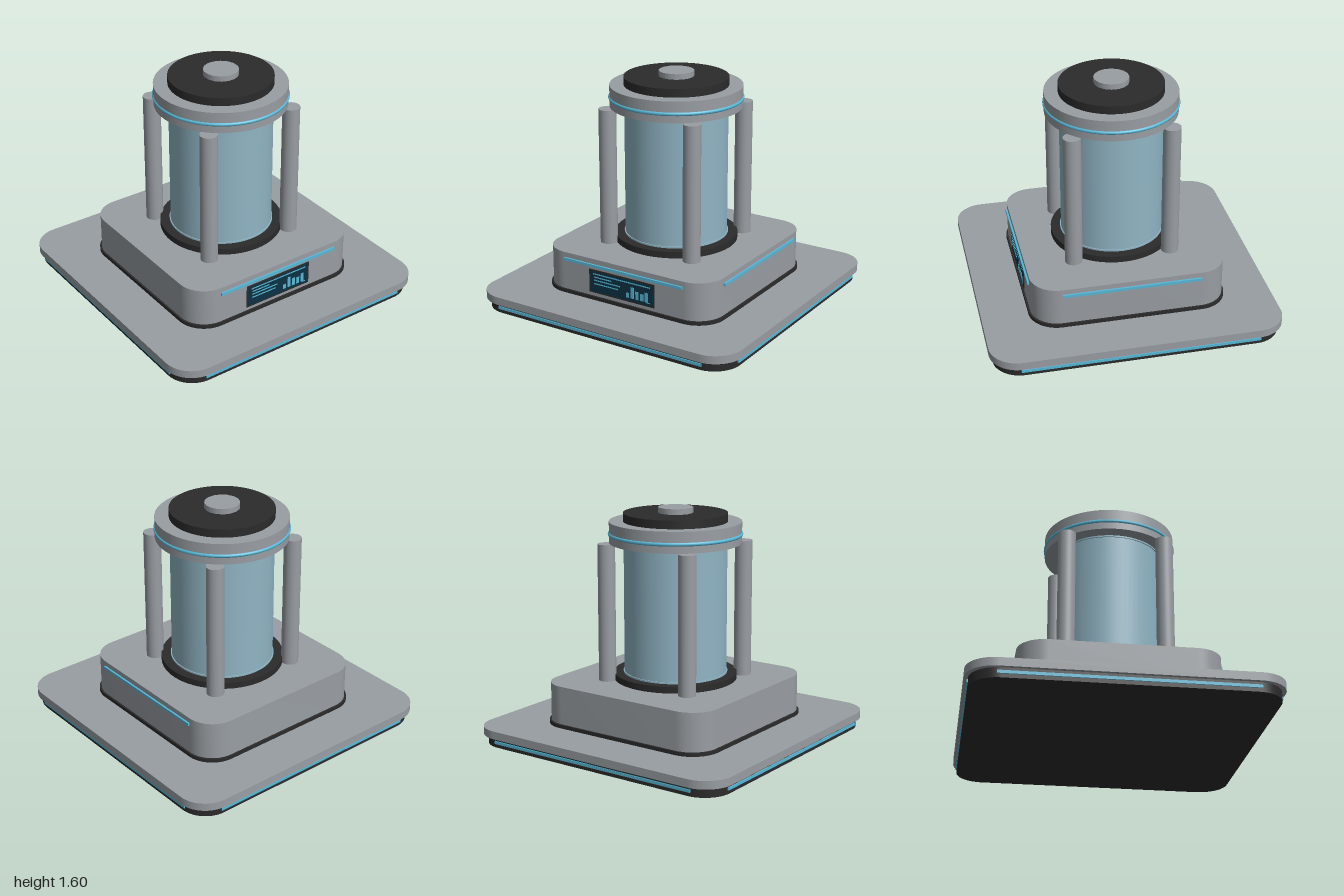
import * as THREE from 'three';
import { toCreasedNormals } from 'three/addons/utils/BufferGeometryUtils.js';

const material = (name, color) => {
  const m = new THREE.MeshStandardMaterial({ color });
  m.name = name;
  return m;
};

export function createModel() {
  const model = new THREE.Group();
  model.name = 'containmentPedestal';
  const metal = material('grey metal', 0x999ea3);
  const dark = material('dark rubber', 0x2b2b2b);
  const glass = material('blue glass', 0x90b5c4);
  const glow = material('cyan light', 0x58b9d8);
  const screenBlue = material('screen blue', 0x0c3244);

  const add = (name, geometry, mat, x = 0, y = 0, z = 0, parent = model) => {
    const mesh = new THREE.Mesh(geometry, mat);
    mesh.name = name;
    mesh.position.set(x, y, z);
    parent.add(mesh);
    return mesh;
  };

  // Square slab with rounded corners, from y0 to y1
  const slab = (name, half, radius, y0, y1, mat) => {
    const s = new THREE.Shape();
    const c = half - radius;
    s.absarc(c, c, radius, 0, Math.PI / 2);
    s.absarc(-c, c, radius, Math.PI / 2, Math.PI);
    s.absarc(-c, -c, radius, Math.PI, Math.PI * 1.5);
    s.absarc(c, -c, radius, Math.PI * 1.5, Math.PI * 2);
    const g = new THREE.ExtrudeGeometry(s, { depth: y1 - y0, bevelEnabled: false, curveSegments: 10 });
    g.rotateX(-Math.PI / 2);
    add(name, toCreasedNormals(g, 0.6), mat, 0, y0, 0);
  };

  // Upright cylinder from y0 to y1
  const drum = (name, radius, y0, y1, mat, sides = 64, x = 0, z = 0) =>
    add(name, new THREE.CylinderGeometry(radius, radius, y1 - y0, sides), mat, x, (y0 + y1) / 2, z);

  // Base and pedestal
  slab('baseFoot', 0.975, 0.19, 0, 0.065, dark);
  slab('basePlate', 1, 0.2, 0.065, 0.12, metal);
  slab('pedestalSeal', 0.68, 0.2, 0.12, 0.145, dark);
  slab('pedestal', 0.667, 0.19, 0.145, 0.41, metal);

  // Light strips: all four sides of the foot, front and left of the pedestal
  const strip = (name, length, out, y, turn) => {
    const side = new THREE.Group();
    side.name = name;
    side.rotation.y = turn * Math.PI / 2;
    add(name + 'Bar', new THREE.BoxGeometry(length, 0.02, 0.016), glow, 0, y, out - 0.008, side);
    model.add(side);
  };
  for (let i = 0; i < 4; i++) strip('footLight', 1.62, 0.982, 0.036, i);
  for (let i = 0; i < 2; i++) strip('pedestalLight', 0.95, 0.68, 0.364, i);

  // Front display with text lines and a bar chart
  const display = new THREE.Group();
  display.name = 'display';
  model.add(display);
  const plate = (name, x0, x1, y0, y1, z, mat) =>
    add(name, new THREE.BoxGeometry(x1 - x0, y1 - y0, 0.006), mat, (x0 + x1) / 2, (y0 + y1) / 2, z, display);
  plate('displayFrame', -0.265, 0.257, 0.17, 0.336, 0.669, dark);
  plate('displayScreen', -0.255, 0.247, 0.18, 0.326, 0.671, screenBlue);
  [[-0.232, 0.226, 0.308], [-0.224, -0.08, 0.285], [-0.224, -0.014, 0.263], [-0.224, -0.03, 0.238]]
    .forEach(([x0, x1, y]) => plate('displayLine', x0, x1, y - 0.004, y + 0.004, 0.673, glow));
  [0.235, 0.28, 0.257, 0.25, 0.267].forEach((top, i) =>
    plate('displayBar', 0.036 + i * 0.0375, 0.061 + i * 0.0375, 0.2, top, 0.673, glow));
  plate('displayTick', 0.2, 0.226, 0.194, 0.2, 0.673, glow);

  // Glass chamber between its lower seat and the collar
  drum('chamberSeat', 0.425, 0.41, 0.455, dark);
  drum('glassChamber', 0.353, 0.455, 1.36, glass);
  drum('lowerGlassRim', 0.36, 0.455, 0.466, glass);
  drum('upperGlassRim', 0.36, 1.349, 1.36, glass);

  // Four corner posts
  for (const x of [-0.335, 0.335])
    for (const z of [-0.335, 0.335]) drum('post', 0.06, 0.41, 1.36, metal, 32, x, z);

  // Collar with light ring, lid and knob
  drum('collar', 0.452, 1.36, 1.505, metal);
  const ring = new THREE.TorusGeometry(0.446, 0.014, 10, 64);
  ring.rotateX(Math.PI / 2);
  add('collarLight', ring, glow, 0, 1.42, 0);
  drum('lid', 0.356, 1.505, 1.562, dark);
  drum('knob', 0.12, 1.562, 1.6, metal, 16).rotation.y = Math.PI / 16;

  return model;
}
